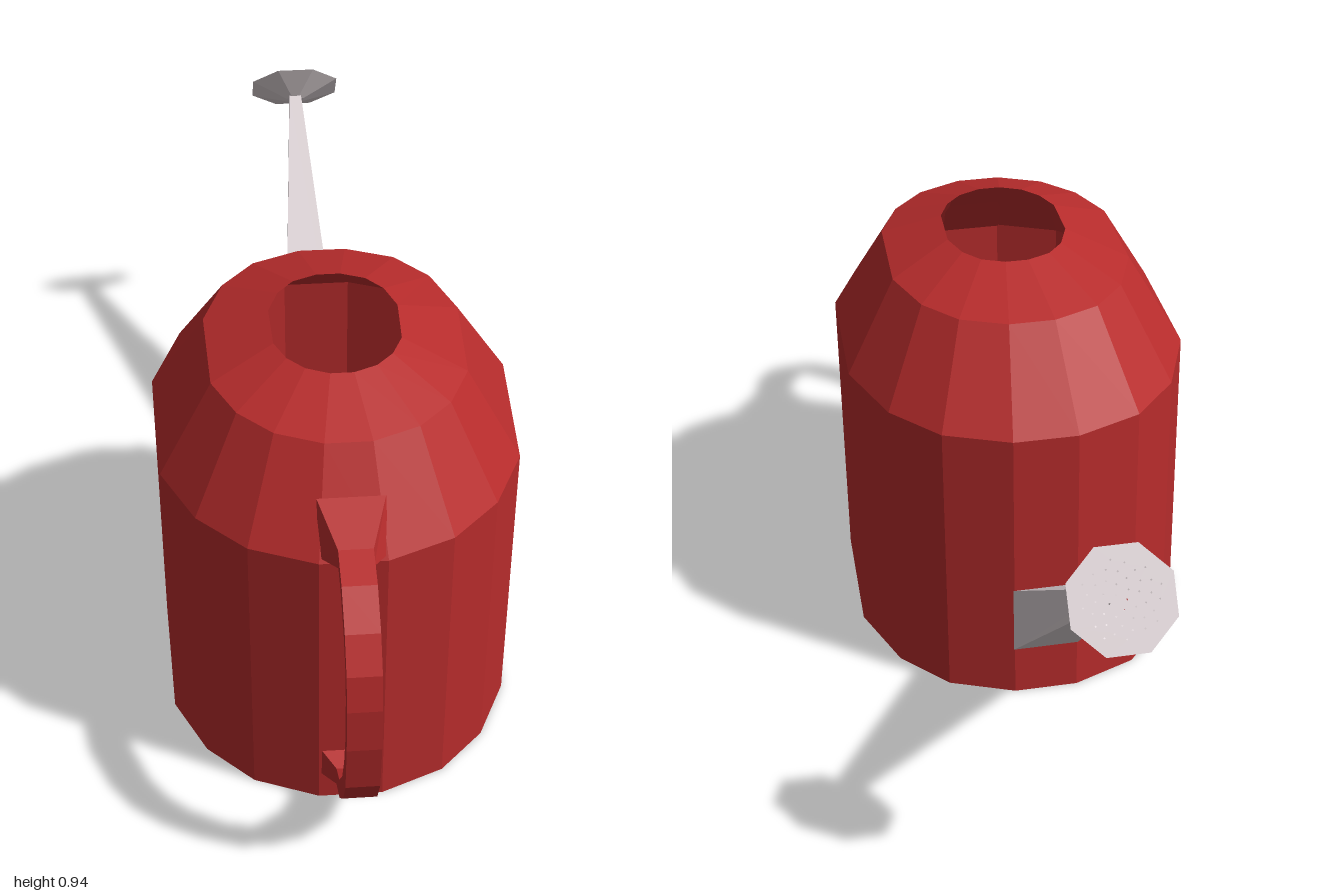
import * as THREE from 'three';

const red = new THREE.MeshStandardMaterial({ color: 0xb82c2c, flatShading: true, side: THREE.DoubleSide });
const metal = new THREE.MeshStandardMaterial({ color: 0xd9cfd2, flatShading: true, side: THREE.DoubleSide });

// Skin a list of rings (each an equal-length list of [x, y, z]), with optional end caps
function loft(rings, capStart, capEnd) {
  const n = rings[0].length;
  const pos = [];
  const tri = (a, b, c) => pos.push(...a, ...b, ...c);
  for (let i = 0; i < rings.length - 1; i++) {
    for (let j = 0; j < n; j++) {
      const k = (j + 1) % n;
      const a = rings[i][j], b = rings[i][k], c = rings[i + 1][k], d = rings[i + 1][j];
      tri(a, d, c);
      tri(a, c, b);
    }
  }
  const last = rings[rings.length - 1];
  for (let j = 1; j < n - 1; j++) {
    if (capStart) tri(rings[0][0], rings[0][j], rings[0][j + 1]);
    if (capEnd) tri(last[0], last[j + 1], last[j]);
  }
  const g = new THREE.BufferGeometry();
  g.setAttribute('position', new THREE.Float32BufferAttribute(pos, 3));
  g.computeVertexNormals();
  return g;
}

function add(parent, name, geometry, material) {
  const mesh = new THREE.Mesh(geometry, material);
  mesh.name = name;
  parent.add(mesh);
  return mesh;
}

// Oval 16-sided tank with sloping shoulders and an open filling hole
function tankGeometry() {
  const half = [[0.19, -1], [0.57, -0.88], [0.83, -0.65], [1, -0.29], [0.975, 0.37], [0.8, 0.67], [0.54, 0.88], [0.18, 1]];
  const outline = [...half, ...half.slice().reverse().map(([x, z]) => [-x, z])];
  // height, half width, half depth, centre z
  const levels = [
    [0.005, 0.38, 0.48, 0.25],
    [0.69, 0.385, 0.485, 0.265],
    [0.89, 0.27, 0.34, 0.28],
    [0.945, 0.135, 0.175, 0.29],
  ];
  return loft(levels.map(([y, w, d, c]) => outline.map(([x, z]) => [x * w, y, c + z * d])), true, false);
}

// Flat strap handle, flared where it meets the tank
function handleGeometry() {
  // outer z, outer y, inner z, inner y, half width
  const sections = [
    [0.68, 0.80, 0.735, 0.695, 0.069],
    [0.785, 0.755, 0.795, 0.717, 0.035],
    [0.866, 0.733, 0.85, 0.70, 0.035],
    [0.94, 0.675, 0.917, 0.655, 0.035],
    [0.985, 0.605, 0.957, 0.60, 0.035],
    [1.0, 0.525, 0.972, 0.535, 0.035],
    [1.0, 0.42, 0.972, 0.43, 0.035],
    [0.98, 0.295, 0.947, 0.335, 0.035],
    [0.93, 0.21, 0.907, 0.25, 0.035],
    [0.85, 0.125, 0.84, 0.17, 0.035],
    [0.775, 0.088, 0.775, 0.134, 0.035],
    [0.725, 0.075, 0.725, 0.15, 0.068],
  ];
  return loft(sections.map(([oz, oy, iz, iy, w]) => [[-w, oy, oz], [w, oy, oz], [w, iy, iz], [-w, iy, iz]]), true, true);
}

// Four-sided tapering spout
function spoutGeometry() {
  const ring = (w, y0, z0, y1, z1) => [[-w, y0, z0], [w, y0, z0], [w, y1, z1], [-w, y1, z1]];
  return loft([ring(0.075, 0.12, -0.222, 0.29, -0.222), ring(0.014, 0.778, -0.915, 0.8, -0.9)], true, true);
}

// Octagonal sprinkler head: shallow cone closed by a perforated face
function buildHead() {
  const head = new THREE.Group();
  head.name = 'sprinklerHead';
  const radius = 0.113;

  const cone = new THREE.CylinderGeometry(radius, 0.022, 0.035, 8, 1, true);
  cone.rotateY(Math.PI / 8).rotateX(Math.PI / 2).translate(0, 0, -0.0175);
  add(head, 'headCone', cone, metal);

  const shape = new THREE.Shape();
  for (let i = 0; i < 8; i++) {
    const a = Math.PI / 8 + i * Math.PI / 4;
    shape[i ? 'lineTo' : 'moveTo'](radius * Math.cos(a), radius * Math.sin(a));
  }
  shape.closePath();
  for (let i = 0; i < 44; i++) {
    const r = 0.082 * Math.sqrt((i + 0.5) / 44), a = i * 2.39996;
    const hole = new THREE.Path();
    hole.absarc(r * Math.cos(a), r * Math.sin(a), 0.0022, 0, Math.PI * 2, true);
    shape.holes.push(hole);
  }
  add(head, 'perforatedFace', new THREE.ShapeGeometry(shape, 2), metal);

  head.position.set(0, 0.798, -0.936);
  head.lookAt(0, 0.798 + 0.6, -0.936 - 0.8);
  return head;
}

export function createModel() {
  const model = new THREE.Group();
  model.name = 'wateringCan';
  add(model, 'tank', tankGeometry(), red);
  add(model, 'handle', handleGeometry(), red);
  add(model, 'spout', spoutGeometry(), metal);
  model.add(buildHead());
  return model;
}
